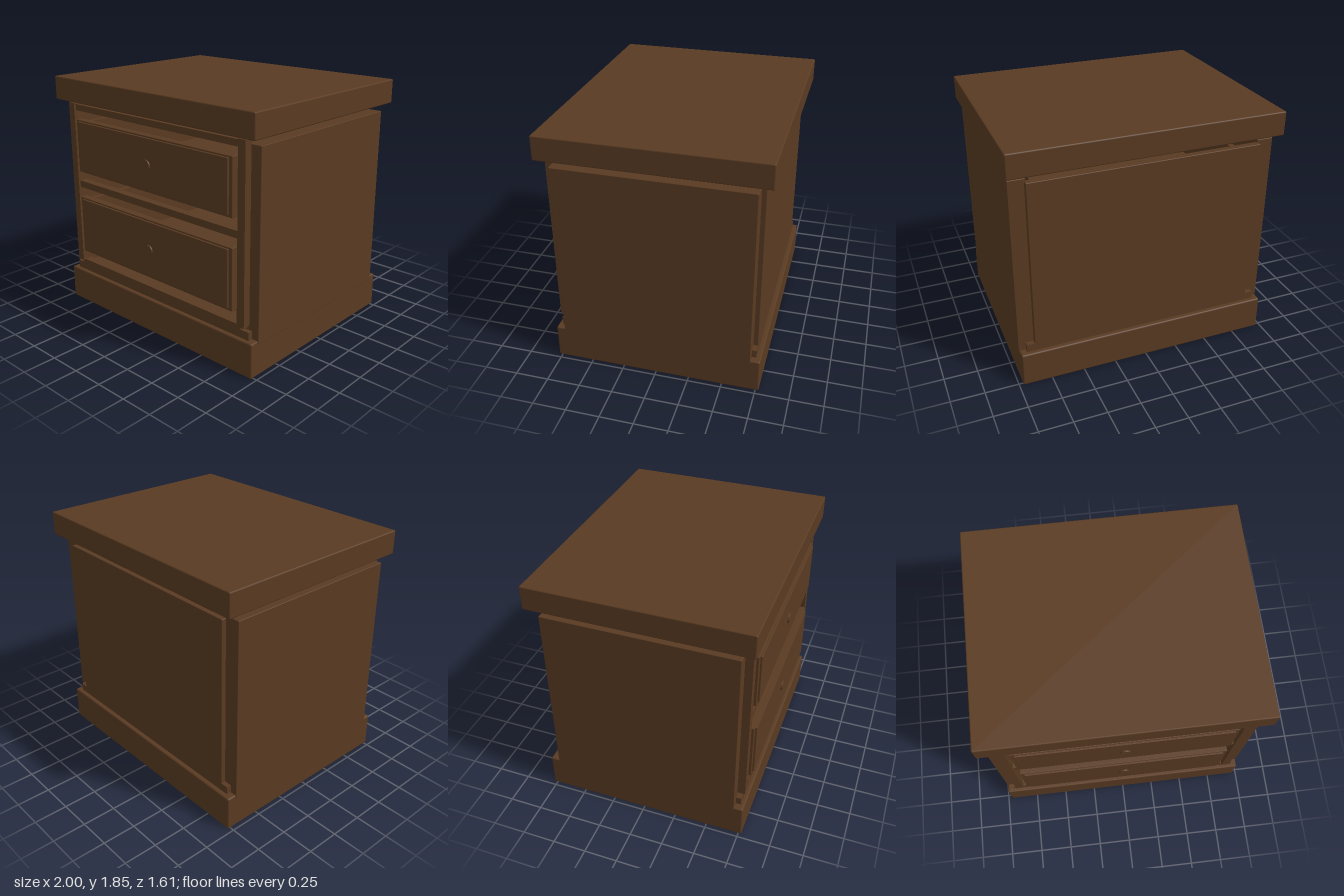
import * as THREE from 'three';
import { RoundedBoxGeometry } from 'three/addons/geometries/RoundedBoxGeometry.js';

export function createModel() {
  const wood = new THREE.MeshStandardMaterial({ color: 0x5a3b22 });
  wood.name = 'dark wood';
  const model = new THREE.Group();
  model.name = 'nightstand';

  // Board given by its limits on each axis; r rounds the edges
  function board(name, [x0, x1], [y0, y1], [z0, z1], r = 0, parent = model) {
    const w = x1 - x0, h = y1 - y0, d = z1 - z0;
    const geometry = r ? new RoundedBoxGeometry(w, h, d, 2, r) : new THREE.BoxGeometry(w, h, d);
    const mesh = new THREE.Mesh(geometry, wood);
    mesh.name = name;
    mesh.position.set((x0 + x1) / 2, (y0 + y1) / 2, (z0 + z1) / 2);
    parent.add(mesh);
    return mesh;
  }

  // Top, plinth and moulding
  board('top', [-1, 1], [1.67, 1.85], [-0.805, 0.805], 0.01);
  board('plinth', [-0.97, 0.97], [0, 0.265], [-0.775, 0.775], 0.012);
  board('moulding', [-0.92, 0.92], [0.25, 0.325], [-0.74, 0.745]);

  // Side panels and front posts
  for (const s of [-1, 1]) {
    const side = s < 0 ? 'right' : 'left';
    const span = (a, b) => (s < 0 ? [-b, -a] : [a, b]);
    board(side + 'SidePanel', span(0.85, 0.975), [0.24, 1.62], [-0.705, 0.708], 0.005);
    board(side + 'Post', span(0.83, 0.893), [0.353, 1.655], [0.705, 0.765]);
  }
  board('backPanel', [-0.86, 0.86], [0.27, 1.6], [-0.74, -0.69], 0.005);

  // Front rails around the drawer openings
  for (const [name, y0, y1] of [
    ['topRail', 1.597, 1.645], ['middleRail', 0.98, 1.033], ['bottomRail', 0.32, 0.36],
  ]) board(name, [-0.85, 0.85], [y0, y1], [0.69, 0.75]);

  // Drawers: open box, front plate, raised panel and knob
  function drawer(name, y0, y1, knobY) {
    const group = new THREE.Group();
    group.name = name;
    model.add(group);
    const add = (part, x, y, z, r) => board(part, x, y, z, r, group);
    add('drawerFront', [-0.795, 0.795], [y0, y1], [0.72, 0.776], 0.004);
    add('drawerRaisedPanel', [-0.765, 0.765], [y0 + 0.018, y1 - 0.012], [0.77, 0.79], 0.004);
    add('drawerFloor', [-0.78, 0.78], [y0 + 0.02, y0 + 0.05], [-0.6, 0.73]);
    add('drawerBack', [-0.78, 0.78], [y0 + 0.02, y1 - 0.02], [-0.63, -0.59]);
    for (const x of [-0.76, 0.76])
      add('drawerSide', [x - 0.02, x + 0.02], [y0 + 0.02, y1 - 0.02], [-0.6, 0.73]);
    const knob = new THREE.Mesh(new THREE.CylinderGeometry(0.038, 0.04, 0.03, 32), wood);
    knob.name = 'knob';
    knob.rotation.x = Math.PI / 2;
    knob.position.set(0, knobY, 0.786);
    group.add(knob);
  }
  drawer('upperDrawer', 1.12, 1.535, 1.328);
  drawer('lowerDrawer', 0.452, 0.912, 0.682);

  return model;
}
